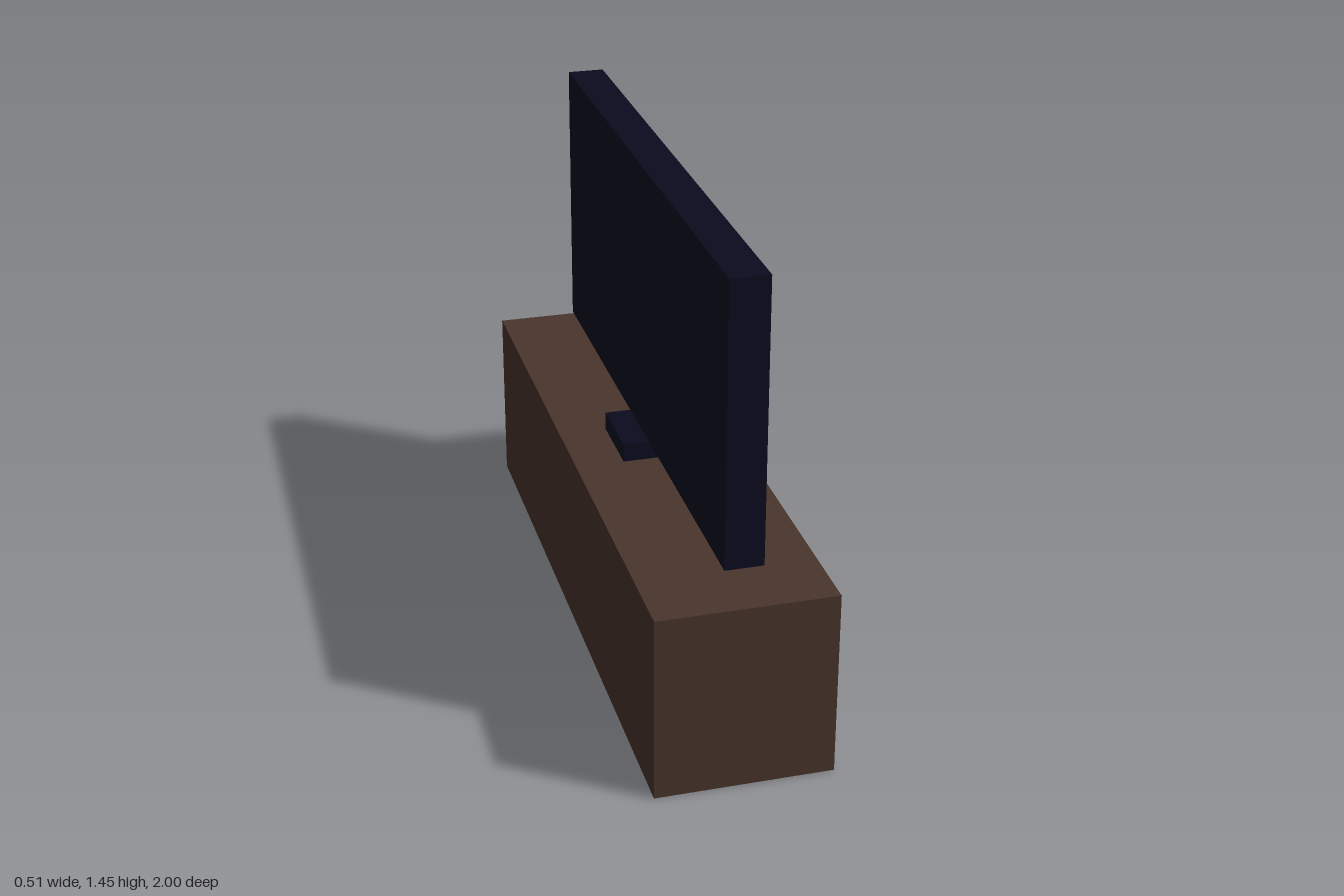
import * as THREE from 'three';

export function createModel() {
  const model = new THREE.Group();
  model.name = 'televisionOnCabinet';

  const wood = new THREE.MeshStandardMaterial({ color: 0x4a352c });
  wood.name = 'dark brown wood';
  const black = new THREE.MeshStandardMaterial({ color: 0x0b0b1f });
  black.name = 'blue black plastic';

  // Adds a box whose underside rests at height y
  function addBox(name, material, width, height, depth, x, y) {
    const mesh = new THREE.Mesh(new THREE.BoxGeometry(width, height, depth), material);
    mesh.name = name;
    mesh.position.set(x, y + height / 2, 0);
    model.add(mesh);
  }

  const cabinetTop = 0.556;
  const standHeight = 0.056;
  const screenX = 0.021; // the television sits slightly off the cabinet's centre line

  addBox('cabinet', wood, 0.512, cabinetTop, 2, 0, 0);
  addBox('stand', black, 0.266, standHeight, 0.222, screenX, cabinetTop);
  addBox('screen', black, 0.111, 0.833, 1.778, screenX, cabinetTop + standHeight);

  return model;
}
